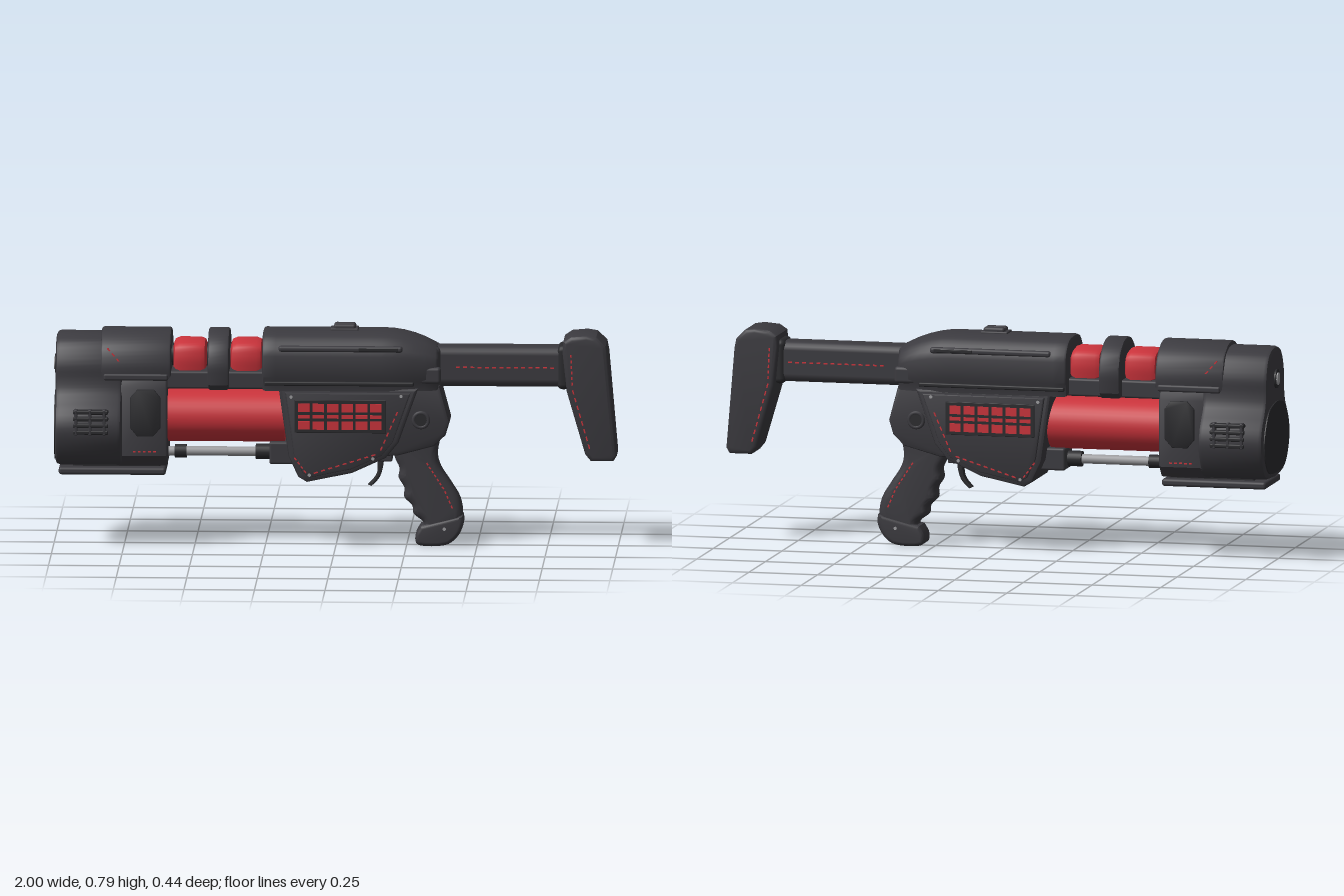
import * as THREE from 'three';
import { toCreasedNormals } from 'three/addons/utils/BufferGeometryUtils.js';
import { RoundedBoxGeometry } from 'three/addons/geometries/RoundedBoxGeometry.js';

const mat = (name, color) => {
  const m = new THREE.MeshStandardMaterial({ color });
  m.name = name;
  return m;
};

export function createModel() {
  const shell = mat('charcoal shell', 0x3b3a3f);
  const dark = mat('dark inset', 0x2a2a2d);
  const red = mat('red', 0xc9333b);
  const steel = mat('steel', 0x9c9c9f);
  const root = new THREE.Group();
  root.name = 'blaster';

  const add = (name, geo, m, x = 0, y = 0, z = 0) => {
    const mesh = new THREE.Mesh(geo, m);
    mesh.name = name;
    mesh.position.set(x, y, z);
    root.add(mesh);
    return mesh;
  };
  // Box given by its ranges
  const box = (name, m, [x0, x1], [y0, y1], [z0, z1], r = 0.008) =>
    add(name, new RoundedBoxGeometry(x1 - x0, y1 - y0, z1 - z0, 2, r), m, (x0 + x1) / 2, (y0 + y1) / 2, (z0 + z1) / 2);
  const both = (fn) => [1, -1].forEach(fn);
  const vecs = (pts) => pts.map(([a, b]) => new THREE.Vector2(a, b));
  const smooth = (pts, n) => new THREE.SplineCurve(vecs(pts)).getPoints(n).map((p) => [p.x, p.y]);
  const extrude = (pts, depth, bevel, segments = 2, steps = 1) => {
    const g = new THREE.ExtrudeGeometry(new THREE.Shape(vecs(pts)), {
      depth: depth - 2 * bevel, steps, bevelEnabled: bevel > 0, bevelSize: bevel,
      bevelThickness: bevel, bevelOffset: -bevel, bevelSegments: segments, curveSegments: 8,
    });
    return g.translate(0, 0, bevel);
  };
  // Side outline, extruded across z and centred on it
  const slab = (pts, width, bevel, segments) =>
    toCreasedNormals(extrude(pts, width, bevel, segments).translate(0, 0, -width / 2), 0.6);
  // Half cross-section (z, y), mirrored and run along x
  const run = (half, x0, x1, bevel, steps = 1) => {
    const other = half.filter(([z]) => z > 0.001).reverse().map(([z, y]) => [-z, y]);
    return extrude([...half, ...other], x1 - x0, bevel, 2, steps).rotateY(Math.PI / 2).translate(x0, 0, 0);
  };
  const creased = (g) => toCreasedNormals(g, 0.6);
  const rod = (name, m, r, x0, x1, y, sides = 32, zScale = 1) => {
    const g = new THREE.CylinderGeometry(r, r, x1 - x0, sides).rotateZ(Math.PI / 2).scale(1, 1, zScale);
    return add(name, g, m, (x0 + x1) / 2, y, 0);
  };
  // Broken red seam between two points on a side face
  const seam = (name, [ax, ay], [bx, by], z, n) => {
    const len = Math.hypot(bx - ax, by - ay);
    for (let i = 0; i < n; i++) {
      const t = (i + 0.5) / n;
      add(name, new THREE.BoxGeometry((len / n) * 0.55, 0.005, 0.004), red, ax + (bx - ax) * t, ay + (by - ay) * t, z)
        .rotation.z = Math.atan2(by - ay, bx - ax);
    }
  };

  // Muzzle housing: narrow dome above, wide round lobes below
  const lobe = smooth([[0, 0.285], [0.13, 0.298], [0.185, 0.345], [0.215, 0.42], [0.2, 0.485],
    [0.15, 0.55], [0.136, 0.6], [0.133, 0.66], [0.1, 0.725], [0.05, 0.75], [0, 0.755]], 40);
  add('muzzleHousing', creased(run(lobe, -0.99, -0.755, 0.015)), shell);
  const face = smooth([[0, 0.305], [0.11, 0.315], [0.165, 0.36], [0.188, 0.42], [0.17, 0.48], [0.11, 0.54], [0, 0.56]], 28);
  add('muzzlePlate', creased(run(face, -0.994, -0.986, 0)), dark);
  rod('muzzleBoltCollar', dark, 0.034, -0.996, -0.98, 0.64);
  rod('muzzleBolt', steel, 0.022, -1, -0.98, 0.64, 20);
  box('underPlate', shell, [-0.98, -0.6], [0.257, 0.284], [-0.115, 0.115], 0.01);
  box('underPlateMount', dark, [-0.93, -0.62], [0.275, 0.31], [-0.08, 0.08]);

  // Front fairing behind the lobes
  const fairing = [[0, 0.285], [0.1, 0.29], [0.135, 0.33], [0.135, 0.57], [0.115, 0.61], [0, 0.61]];
  add('frontFairing', creased(run(fairing, -0.78, -0.595, 0.008)), shell);
  const hood = smooth([[0.136, 0.61], [0.138, 0.66], [0.115, 0.72], [0.06, 0.76], [0, 0.771]], 18);
  add('upperHood', creased(run([[0, 0.605], ...hood], -0.83, -0.582, 0.008)), shell);
  both((s) => {
    const oct = [[-0.725, 0.43], [-0.7, 0.4], [-0.645, 0.4], [-0.618, 0.43], [-0.618, 0.54], [-0.64, 0.568], [-0.7, 0.568], [-0.725, 0.54]];
    add('fairingPanel', slab(oct, 0.014, 0.004), dark, 0, 0, s * 0.136);
    // Vent slats on each lobe
    for (let i = 0; i < 4; i++) {
      box('ventSlat', dark, [-0.925, -0.8], [0.418 + i * 0.024, 0.433 + i * 0.024], [s * 0.205 - 0.015, s * 0.205 + 0.015], 0.005);
    }
    [-0.915, -0.865, -0.815].forEach((x) => box('ventRib', shell, [x - 0.006, x + 0.006], [0.415, 0.508], [s * 0.206 - 0.014, s * 0.206 + 0.014], 0.004));
    box('hoodSkirt', shell, [-0.82, -0.59], [0.6, 0.625], [s * 0.132 - 0.01, s * 0.132 + 0.01]);
    seam('muzzleSeam', [-0.81, 0.72], [-0.745, 0.645], s * 0.134, 4);
    seam('muzzleSeam', [-0.72, 0.345], [-0.63, 0.345], s * 0.136, 5);
  });

  // Red core barrel, upper cells, clamp band and rod
  rod('coreBarrel', red, 0.094, -0.62, -0.18, 0.458, 40, 1.12);
  [[-0.575, -0.457], [-0.372, -0.258]].forEach(([x0, x1]) => {
    const cell = smooth([[0.088, 0.63], [0.092, 0.68], [0.075, 0.722], [0, 0.737]], 14);
    add('powerCell', creased(run([[0, 0.62], ...cell], x0, x1, 0.022)), red);
  });
  rod('cellAxle', dark, 0.04, -0.6, -0.24, 0.675);
  box('barrelBridge', shell, [-0.6, -0.24], [0.565, 0.628], [-0.095, 0.095]);
  const band = [[0, 0.565], [0.11, 0.565], [0.133, 0.585], ...hood.slice(2)];
  add('clampBand', creased(run(band, -0.451, -0.376, 0.008)), shell);
  rod('slideRod', steel, 0.017, -0.6, -0.2, 0.327, 20);
  rod('rodCollar', dark, 0.024, -0.572, -0.53, 0.327, 20);
  rod('rodSocket', dark, 0.028, -0.285, -0.22, 0.327, 20);
  box('rodBlock', shell, [-0.235, -0.12], [0.29, 0.37], [-0.06, 0.06]);

  // Upper receiver, tapering toward the stock
  const upper = [[0, 0.565], [0.125, 0.565], [0.128, 0.6], [0.136, 0.615], [0.137, 0.69],
    ...smooth([[0.13, 0.715], [0.1, 0.75], [0.06, 0.766], [0, 0.77]], 10)];
  const receiver = run(upper, -0.258, 0.365, 0.01, 16);
  const p = receiver.attributes.position;
  for (let i = 0; i < p.count; i++) {
    const t = Math.max(0, (p.getX(i) - 0.17) / 0.195);
    p.setY(i, 0.565 + (p.getY(i) - 0.565) * (1 - 0.27 * t * t));
    p.setZ(i, p.getZ(i) * (1 - 0.25 * t * t));
  }
  add('upperReceiver', creased(receiver), shell);
  box('sightBase', shell, [-0.02, 0.08], [0.762, 0.776], [-0.035, 0.035], 0.005);
  both((s) => {
    box('rearSight', shell, [-0.008, 0.07], [0.768, 0.79], [s * 0.0175 - 0.0145, s * 0.0175 + 0.0145], 0.009);
    box('topRail', shell, [-0.2, 0.24], [0.705, 0.727], [s * 0.122 - 0.014, s * 0.122 + 0.014], 0.009);
    box('railPill', dark, [0.085, 0.225], [0.711, 0.722], [s * 0.136 - 0.003, s * 0.136 + 0.003], 0.002);
    box('receiverLedge', dark, [-0.25, 0.28], [0.585, 0.6], [s * 0.128 - 0.01, s * 0.128 + 0.01], 0.005);
    box('rearCheek', shell, [0.24, 0.375], [0.59, 0.65], [s * 0.098 - 0.017, s * 0.098 + 0.017], 0.012);
  });

  // Lower receiver and its side panels
  const panel = [[-0.2, 0.575], [-0.165, 0.33], [-0.13, 0.255], [-0.1, 0.237], [0.06, 0.27], [0.18, 0.325], [0.225, 0.38], [0.295, 0.575]];
  add('lowerReceiver', slab(panel, 0.25, 0.012), shell);
  const rear = [[0.1, 0.58], [0.1, 0.32], [0.22, 0.325], [0.35, 0.36], [0.39, 0.4], [0.405, 0.45], [0.37, 0.58]];
  add('rearReceiver', slab(rear, 0.15, 0.015), shell);
  const inner = panel.map(([x, y]) => [0.03 + (x - 0.03) * 0.9, 0.43 + (y - 0.43) * 0.9]);
  both((s) => {
    add('sidePanel', slab(inner, 0.016, 0.005), shell, 0, 0, s * 0.128);
    box('gridRecess', dark, [-0.142, 0.182], [0.417, 0.535], [s * 0.135 - 0.003, s * 0.135 + 0.003], 0.002);
    // Grid of red lights
    for (let c = 0; c < 6; c++) {
      [[0.429, 0.459], [0.469, 0.482], [0.492, 0.522]].forEach(([y0, y1]) => {
        const x = -0.129 + c * 0.051;
        add('gridLight', new THREE.BoxGeometry(0.041, y1 - y0, 0.004), red, x + 0.02, (y0 + y1) / 2, s * 0.1385);
      });
    }
    seam('panelSeam', [-0.145, 0.33], [-0.1, 0.27], s * 0.136, 4);
    seam('panelSeam', [-0.08, 0.27], [0.15, 0.342], s * 0.136, 9);
    seam('panelSeam', [0.16, 0.35], [0.225, 0.5], s * 0.136, 6);
    [[-0.155, 0.545], [-0.09, 0.265], [0.135, 0.325], [0.235, 0.55]].forEach(([x, y]) =>
      add('panelScrew', new THREE.CylinderGeometry(0.006, 0.006, 0.006, 10).rotateX(Math.PI / 2), steel, x, y, s * 0.135));
    add('pivotRing', new THREE.TorusGeometry(0.026, 0.007, 8, 24), shell, 0.303, 0.455, s * 0.076);
    add('pivotPin', new THREE.CylinderGeometry(0.022, 0.022, 0.012, 20).rotateX(Math.PI / 2), dark, 0.303, 0.455, s * 0.075);
  });

  // Trigger
  box('triggerMount', shell, [0.1, 0.2], [0.297, 0.325], [-0.03, 0.03], 0.006);
  const blade = smooth([[0.145, 0.31], [0.147, 0.265], [0.135, 0.235], [0.113, 0.212]], 8);
  const bladeBack = smooth([[0.125, 0.207], [0.152, 0.235], [0.165, 0.27], [0.17, 0.31]], 8);
  add('trigger', slab([...blade, ...bladeBack], 0.03, 0.003), dark);

  // Grip with finger waves, and its flared foot
  const front = smooth([[0.2, 0.38], [0.208, 0.315], [0.225, 0.275], [0.222, 0.24], [0.242, 0.205], [0.242, 0.17],
    [0.27, 0.14], [0.275, 0.11], [0.31, 0.08], [0.3, 0.05]], 36);
  const back = smooth([[0.42, 0.05], [0.448, 0.1], [0.44, 0.165], [0.405, 0.225], [0.37, 0.28], [0.36, 0.33], [0.375, 0.4]], 24);
  add('grip', slab([...front, ...back], 0.092, 0.026, 5), shell);
  const foot = smooth([[0.3, 0.07], [0.282, 0.035], [0.295, 0], [0.385, 0], [0.43, 0.03], [0.452, 0.075], [0.45, 0.108]], 24);
  add('gripFoot', slab(foot, 0.102, 0.014, 4), shell);
  both((s) => {
    seam('gripSeam', [0.32, 0.3], [0.385, 0.2], s * 0.046, 7);
    seam('gripSeam', [0.385, 0.2], [0.415, 0.13], s * 0.046, 4);
    add('gripScrew', new THREE.CylinderGeometry(0.006, 0.006, 0.006, 10).rotateX(Math.PI / 2), steel, 0.385, 0.06, s * 0.05);
  });

  // Stock tube and butt, the butt narrowing downward
  box('stockTube', shell, [0.3, 0.84], [0.57, 0.715], [-0.054, 0.054], 0.03);
  box('stockCollar', shell, [0.33, 0.372], [0.56, 0.715], [-0.07, 0.07], 0.02);
  box('buttCollar', dark, [0.785, 0.83], [0.563, 0.722], [-0.06, 0.06], 0.02);
  const buttShape = [[0.805, 0.7], [0.808, 0.74], [0.835, 0.758], [0.89, 0.763], [0.925, 0.757], [0.958, 0.725],
    [0.965, 0.69], [0.997, 0.33], [0.985, 0.31], [0.905, 0.31], [0.885, 0.335], [0.82, 0.56]];
  const butt = extrude(buttShape, 0.178, 0.014, 3).translate(0, 0, -0.089);
  const b = butt.attributes.position;
  for (let i = 0; i < b.count; i++) b.setZ(i, b.getZ(i) * (0.84 + 0.16 * Math.min(1, (b.getY(i) - 0.31) / 0.4)));
  add('stockButt', creased(butt), shell);
  both((s) => {
    seam('tubeSeam', [0.42, 0.642], [0.78, 0.642], s * 0.054, 14);
    seam('buttSeam', [0.835, 0.7], [0.84, 0.58], s * 0.087, 6);
    const low = new THREE.Group();
    low.name = 'buttSeamLower';
    for (let i = 0; i < 8; i++) {
      const y = 0.56 - i * 0.028;
      const dash = new THREE.Mesh(new THREE.BoxGeometry(0.005, 0.016, 0.004), red);
      dash.name = 'buttDash';
      dash.position.set(0.843 + i * 0.008, y, s * 0.0885 * (0.84 + 0.16 * (y - 0.31) / 0.4));
      dash.rotation.z = 0.28;
      low.add(dash);
    }
    root.add(low);
  });
  return root;
}
